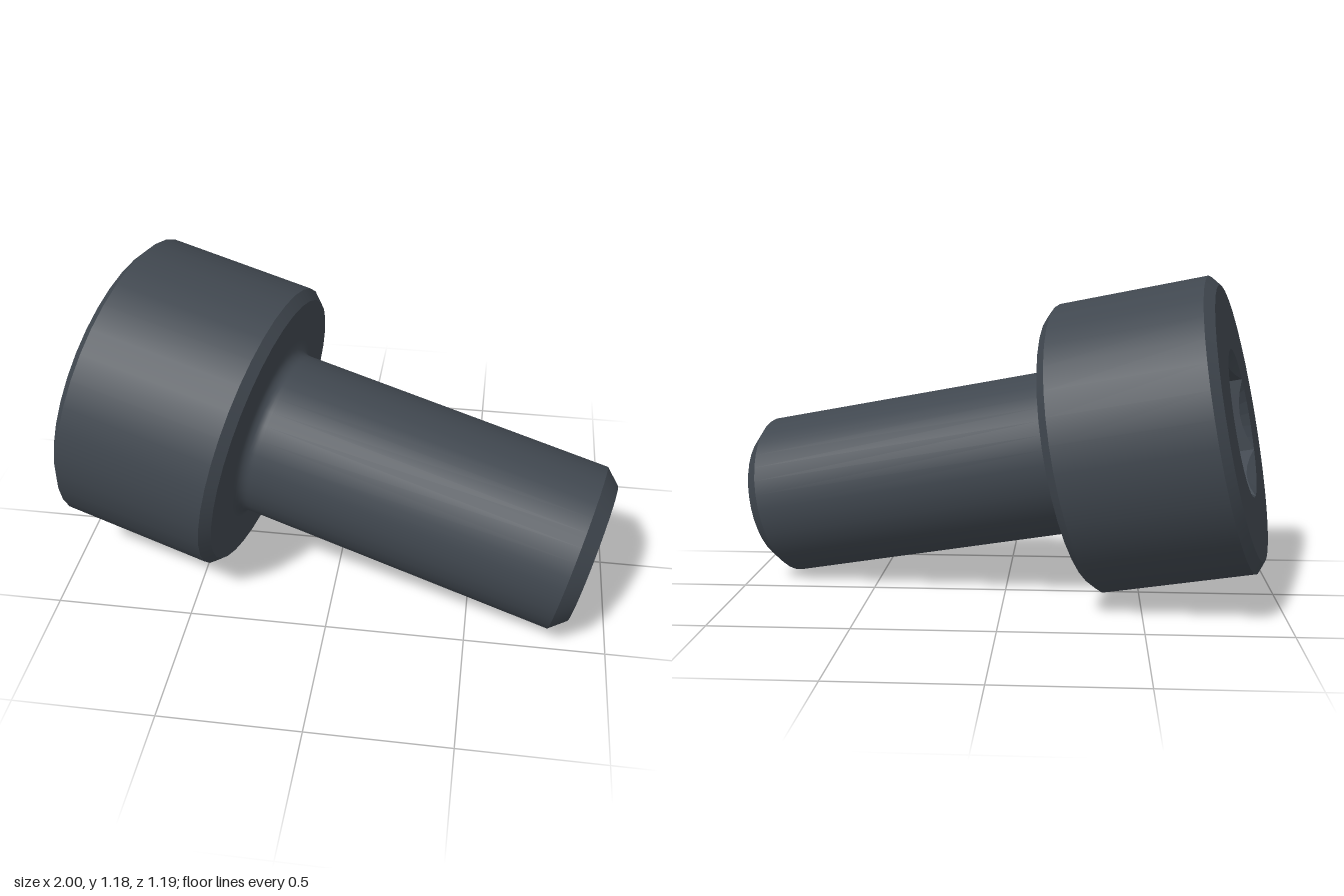
import * as THREE from 'three';

const SEGMENTS = 36;

export function createModel() {
  const group = new THREE.Group();
  group.name = 'socketHeadBolt';
  const steel = new THREE.MeshStandardMaterial({ color: 0x40474f });
  steel.name = 'blackened steel';

  // The bolt is modelled along +y, from the head face (y = 0) to the tip, then tilted
  const bolt = new THREE.Group();
  bolt.name = 'bolt';
  group.add(bolt);

  const lathe = (profile) =>
    new THREE.LatheGeometry(profile.map(([r, y]) => new THREE.Vector2(r, y)), SEGMENTS);
  const add = (name, geometry) => {
    const mesh = new THREE.Mesh(geometry, steel);
    mesh.name = name;
    bolt.add(mesh);
  };

  const headR = 0.542, shaftR = 0.307, socketR = 0.27, socketDepth = 0.27;
  const underside = 0.617, length = 1.865, fillet = 0.04;

  // Head: each sharp-edged section is its own lathe
  add('headFace', lathe([[socketR, 0], [0.503, 0]]));
  add('headTopChamfer', lathe([[0.503, 0], [headR, 0.031]]));
  add('headSide', lathe([[headR, 0.031], [headR, 0.583]]));
  add('headLowerChamfer', lathe([[headR, 0.583], [0.51, underside]]));

  // Underside runs smoothly through a small fillet into the shaft
  const neck = [[0.51, underside], [shaftR + fillet + 0.01, underside]];
  for (let i = 0; i <= 6; i++) {
    const a = (i / 6) * Math.PI / 2;
    neck.push([
      shaftR + fillet * (1 - Math.sin(a)),
      underside + fillet * (1 - Math.cos(a)),
    ]);
  }
  neck.push([shaftR, underside + fillet + 0.01], [shaftR, 1.809]);
  add('shaft', lathe(neck));
  add('tipChamfer', lathe([[shaftR, 1.809], [0.256, length]]));
  add('tipFace', lathe([[0.256, length], [0, length]]));

  // Hex socket: round profiles squeezed to a hexagon, with the countersink cutting
  // a scalloped edge into the walls
  const hexSocket = (profile) => {
    const geometry = lathe(profile.map(([r, y]) => [r, y]));
    const p = geometry.attributes.position;
    const rows = profile.length;
    for (let i = 0; i < p.count; i++) {
      const row = profile[i % rows];
      if (!row[2]) continue;
      const angle = Math.floor(i / rows) / SEGMENTS * Math.PI * 2;
      const fromMid = (angle % (Math.PI / 3)) - Math.PI / 6;
      const r = socketR * Math.cos(Math.PI / 6) / Math.cos(fromMid);
      const y = row[2] === 'rim' ? (socketR - r) * 0.85 : row[1];
      p.setXYZ(i, r * Math.sin(angle), y, r * Math.cos(angle));
    }
    const flat = geometry.toNonIndexed();
    flat.computeVertexNormals();
    return flat;
  };
  add('socketFloor', hexSocket([[0, socketDepth], [socketR, socketDepth, 'hex']]));
  add('socketWalls', hexSocket([[socketR, socketDepth, 'hex'], [socketR, 0, 'rim']]));
  add('socketCountersink', hexSocket([[socketR, 0, 'rim'], [socketR, 0]]));

  // Tilt: local y follows the axis, a socket corner (local z) points downward
  const axis = new THREE.Vector3(1, -0.205, 0.21).normalize();
  const down = new THREE.Vector3(0, -1, 0).addScaledVector(axis, axis.y).normalize();
  const side = new THREE.Vector3().crossVectors(axis, down);
  bolt.quaternion.setFromRotationMatrix(new THREE.Matrix4().makeBasis(side, axis, down));
  bolt.position.set(-0.86, 0.659, -0.075);

  return group;
}
